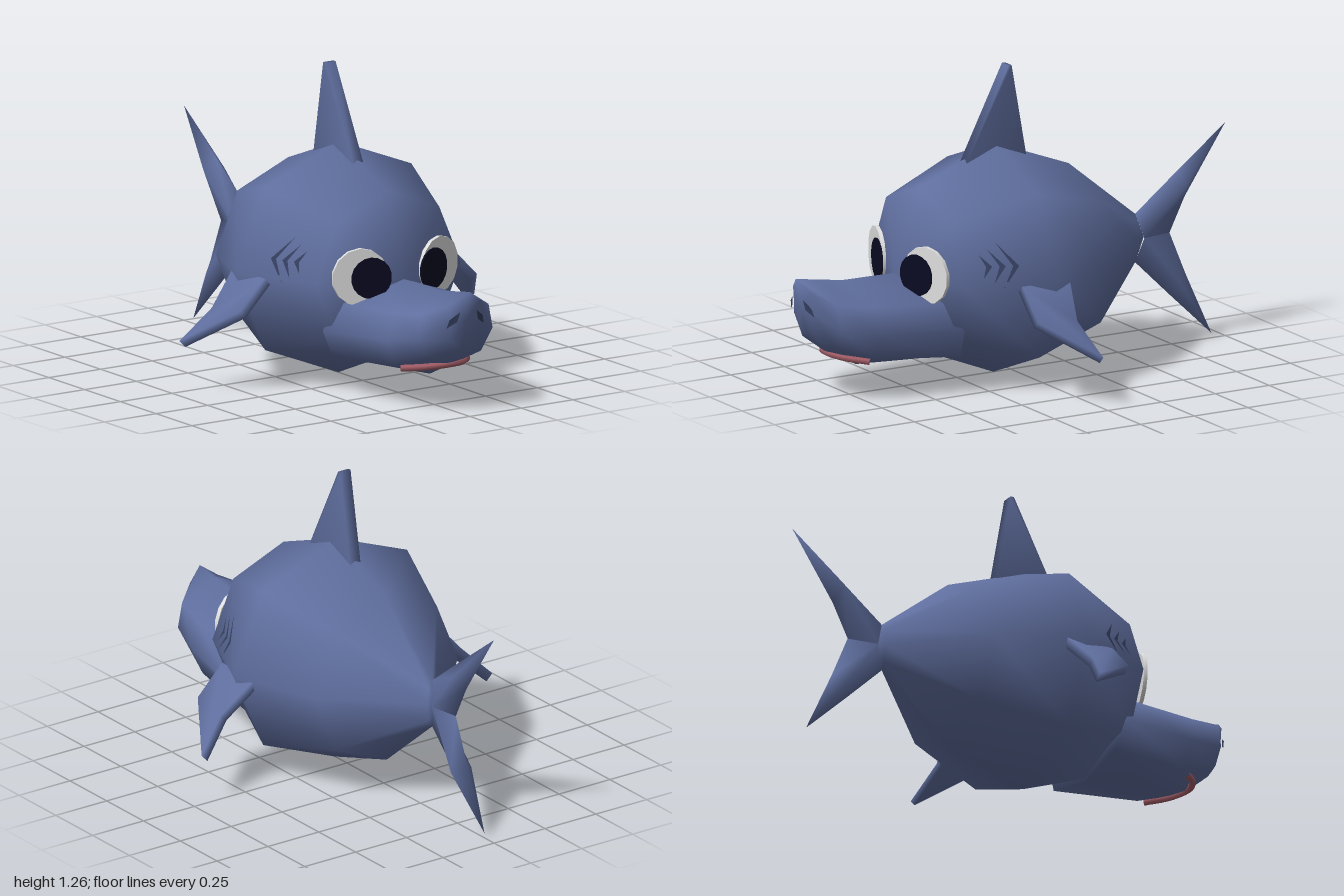
import * as THREE from 'three';
import { mergeVertices } from 'three/addons/utils/BufferGeometryUtils.js';

const mat = (name, color, side = THREE.FrontSide) =>
  Object.assign(new THREE.MeshStandardMaterial({ color, side }), { name });

// Merge corners so the whole surface shades smoothly
function smooth(geo) {
  geo.deleteAttribute('normal');
  geo.deleteAttribute('uv');
  const g = mergeVertices(geo, 1e-4);
  g.computeVertexNormals();
  return g;
}

// Skin a list of closed rings; a ring of one point closes an end.
// Rings run counter-clockwise as seen from the last ring.
function loft(rings) {
  const n = Math.max(...rings.map((r) => r.length));
  const at = (r, j) => r[r.length === 1 ? 0 : j % n];
  const pos = [];
  for (let i = 0; i + 1 < rings.length; i++) {
    for (let j = 0; j < n; j++) {
      const a = at(rings[i], j), b = at(rings[i], j + 1);
      const c = at(rings[i + 1], j + 1), d = at(rings[i + 1], j);
      if (rings[i].length > 1) pos.push(...a, ...b, ...c);
      if (rings[i + 1].length > 1) pos.push(...a, ...c, ...d);
    }
  }
  const g = new THREE.BufferGeometry();
  g.setAttribute('position', new THREE.Float32BufferAttribute(pos, 3));
  return smooth(g);
}

// Flat outline given thickness, centred on its own plane
function slab(outline, depth) {
  const shape = new THREE.Shape(outline.map(([x, y]) => new THREE.Vector2(x, y)));
  const g = new THREE.ExtrudeGeometry(shape, { depth, bevelEnabled: false });
  g.translate(0, 0, -depth / 2);
  return smooth(g);
}

// Thin painted face
function plate(points, index) {
  const g = new THREE.BufferGeometry();
  g.setAttribute('position', new THREE.Float32BufferAttribute(points.flat(), 3));
  g.setIndex(index);
  g.computeVertexNormals();
  return g;
}

// Copy to the other side of x = 0 and restore the corner order
function mirrored(geo) {
  const g = geo.clone().scale(-1, 1, 1);
  const idx = g.index;
  for (let i = 0; i < idx.count; i += 3) {
    const t = idx.getX(i + 1);
    idx.setX(i + 1, idx.getX(i + 2));
    idx.setX(i + 2, t);
  }
  g.computeVertexNormals();
  return g;
}

export function createModel() {
  const model = new THREE.Group();
  const blue = mat('blueSkin', 0x5f6e9e);
  const dark = mat('darkMarking', 0x343e5e, THREE.DoubleSide);
  const white = mat('eyeWhite', 0xdedede);
  const black = mat('pupilBlack', 0x0a0a22);
  const red = mat('lipRed', 0xa05c66);

  const add = (name, geo, material) => {
    const mesh = new THREE.Mesh(geo, material);
    mesh.name = name;
    model.add(mesh);
  };
  const addPair = (name, geo, material) => {
    add(name + 'Left', geo, material);
    add(name + 'Right', mirrored(geo), material);
  };

  // Body: eight-sided rings from tail to face
  const octagon = (z, rx, ry, cy) => Array.from({ length: 8 }, (_, i) => {
    const a = (i * Math.PI) / 4;
    return [rx * Math.cos(a), cy + ry * Math.sin(a), z];
  });
  add('body', loft([
    [[0, 0.46, -0.62]],
    octagon(-0.58, 0.025, 0.1, 0.46),
    octagon(-0.27, 0.35, 0.352, 0.46),
    octagon(0.08, 0.5, 0.473, 0.473),
    octagon(0.43, 0.35, 0.335, 0.475),
    [[0, 0.475, 0.54]],
  ]), blue);

  // Snout: half rings from bottom to top, mirrored to full loops
  const halfRing = (pts) => [...pts, ...pts.slice(1, -1).reverse().map(([x, y, z]) => [-x, y, z])];
  add('snout', loft([
    [[0, 0.28, 0.36]],
    halfRing([[0, 0.1, 0.37], [0.23, 0.155, 0.37], [0.29, 0.27, 0.39], [0.24, 0.385, 0.42], [0, 0.47, 0.42]]),
    halfRing([[0, 0.12, 0.72], [0.18, 0.18, 0.73], [0.225, 0.29, 0.74], [0.19, 0.4, 0.76], [0, 0.475, 0.78]]),
    halfRing([[0, 0.19, 0.86], [0.13, 0.23, 0.89], [0.18, 0.32, 0.9], [0.16, 0.42, 0.9], [0, 0.493, 0.9]]),
    halfRing([[0, 0.27, 0.95], [0.05, 0.3, 0.955], [0.07, 0.38, 0.965], [0.07, 0.46, 0.97], [0, 0.51, 1]]),
    [[0, 0.39, 0.975]],
  ]), blue);

  // Lip under the snout tip
  const lipCurve = new THREE.CatmullRomCurve3([
    [-0.16, 0.17, 0.75], [-0.085, 0.18, 0.825], [0, 0.186, 0.855], [0.085, 0.18, 0.825], [0.16, 0.17, 0.75],
  ].map((p) => new THREE.Vector3(...p)));
  add('lip', new THREE.TubeGeometry(lipCurve, 16, 0.014, 6), red);

  // Nostrils
  addPair('nostril', plate([
    [0.04, 0.43, 0.991], [0.05, 0.39, 0.985], [0.09, 0.365, 0.967], [0.08, 0.4, 0.975],
  ], [0, 1, 2, 0, 2, 3]), dark);

  // Eyes: thin discs turned outward
  const disc = (r, depth, sides, x, y, z) => new THREE.CylinderGeometry(r, r, depth, sides)
    .rotateX(Math.PI / 2).rotateY(0.3).translate(x, y, z);
  addPair('eye', disc(0.117, 0.016, 14, 0.19, 0.5, 0.506), white);
  addPair('pupil', disc(0.084, 0.008, 18, 0.15, 0.494, 0.53), black);

  // Gills: three chevrons lying on the cheek
  const onCheek = (z, y) => {
    const s = (z - 0.08) / 0.35;
    const t = Math.abs(y - 0.475) / ((0.473 - 0.138 * s) * 0.707);
    return [(0.5 - 0.15 * s) * (1 - 0.293 * t) + 0.007, y, z + 0.003];
  };
  [[0.21, 0.28, 0.09], [0.26, 0.315, 0.065], [0.31, 0.35, 0.045]].forEach(([tip, end, h], i) => {
    addPair('gill' + (i + 1), plate([
      onCheek(end, 0.55 + h), onCheek(tip, 0.55), onCheek(tip + 0.022, 0.55), onCheek(end, 0.55 - h),
    ], [0, 2, 1, 3, 1, 2]), dark);
  });

  // Dorsal fin
  add('dorsalFin', slab([[-0.22, 0.88], [0.06, 0.87], [-0.01, 1.26], [-0.025, 1.26]], 0.05)
    .rotateY(Math.PI / 2), blue);

  // Side fins sloping down and outward
  const out = new THREE.Vector3(0.7, -0.714, 0).normalize();
  const along = new THREE.Vector3(0, 0, 1);
  const place = new THREE.Matrix4()
    .makeBasis(out, along, out.clone().cross(along))
    .setPosition(0.455, 0.445, 0);
  addPair('sideFin', slab([
    [-0.02, 0.22], [-0.02, 0.0], [0.17, 0.045], [0.35, 0.0], [0.15, 0.22],
  ], 0.04).applyMatrix4(place), blue);

  // Tail fin: two diamond-section lobes; points are leading edge, side ridge, trailing edge
  const diamond = ([ly, lz], [w, sy, sz], [ty, tz]) =>
    [[0, ly, lz], [w, sy, sz], [0, ty, tz], [-w, sy, sz]];
  add('upperTailLobe', loft([
    diamond([0.56, -0.58], [0.022, 0.46, -0.61], [0.46, -0.74]),
    diamond([0.71, -0.775], [0.05, 0.66, -0.79], [0.6, -0.81]),
    [[0, 0.88, -1]],
  ]), blue);
  add('lowerTailLobe', loft([
    diamond([0.36, -0.58], [-0.022, 0.46, -0.61], [0.46, -0.74]),
    diamond([0.2, -0.745], [-0.05, 0.24, -0.775], [0.28, -0.815]),
    [[0, 0.02, -0.935]],
  ]), blue);

  return model;
}
